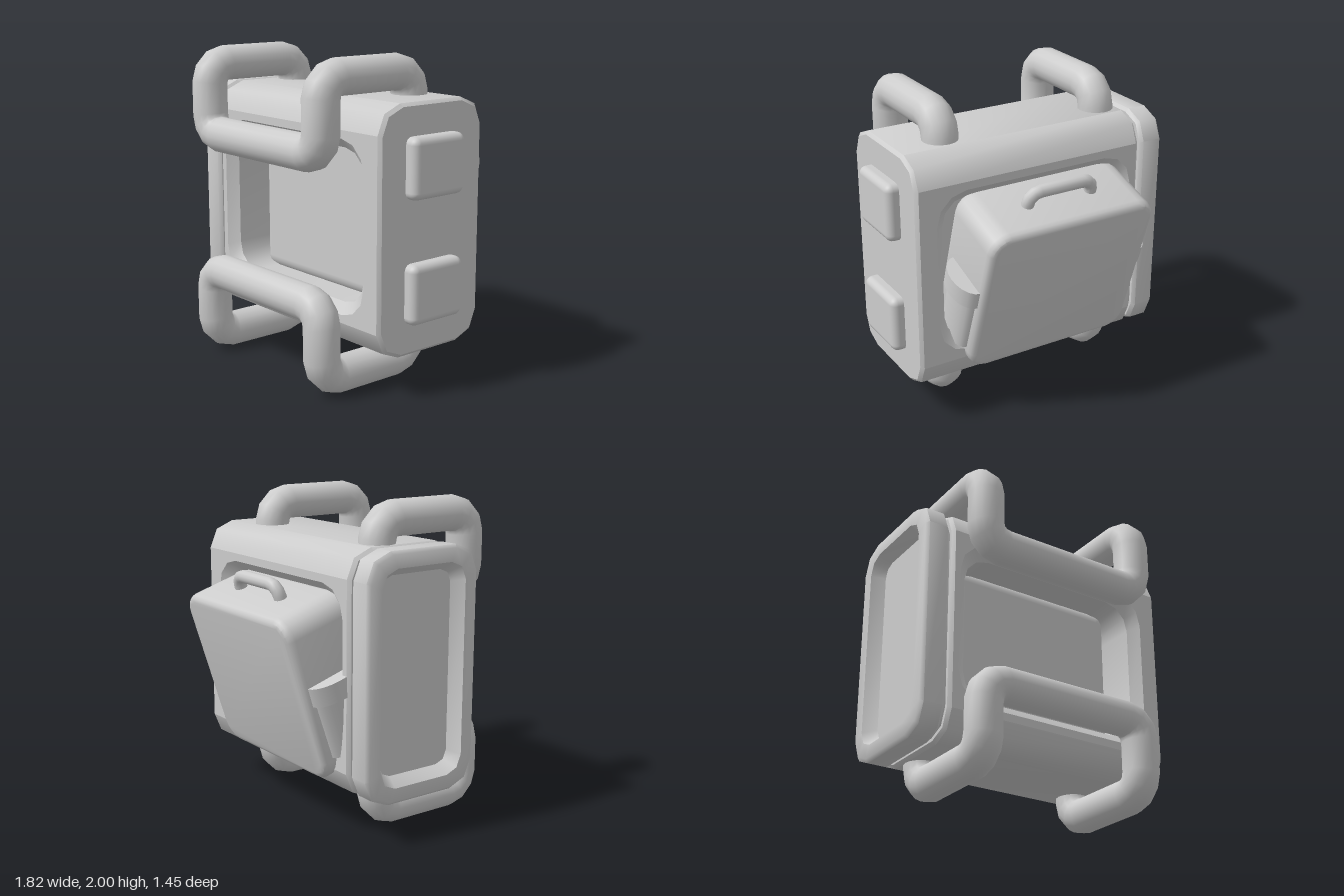
import * as THREE from 'three';
import { toCreasedNormals, mergeGeometries } from 'three/addons/utils/BufferGeometryUtils.js';
import { RoundedBoxGeometry } from 'three/addons/geometries/RoundedBoxGeometry.js';

// Counter-clockwise rounded rectangle outline
function rounded(hw, hh, r, seg, cx = 0, cy = 0) {
  const pts = [];
  for (let c = 0; c < 4; c++) {
    const sx = c === 0 || c === 3 ? 1 : -1, sy = c < 2 ? 1 : -1;
    for (let k = 0; k <= seg; k++) {
      const a = (c + k / seg) * Math.PI / 2;
      pts.push(new THREE.Vector2(cx + sx * (hw - r) + r * Math.cos(a), cy + sy * (hh - r) + r * Math.sin(a)));
    }
  }
  return pts;
}

function fromPoints(points) {
  const g = new THREE.BufferGeometry().setFromPoints(points);
  g.computeVertexNormals();
  return g;
}

// Skin between successive loops, with optional end caps and skipped quads
function loft(loops, { capStart, capEnd, skip = () => false, crease = 0.8 } = {}) {
  const tris = [], n = loops[0].length;
  for (let l = 0; l < loops.length - 1; l++) {
    for (let i = 0; i < n; i++) {
      if (skip(l, i)) continue;
      const j = (i + 1) % n, a = loops[l], b = loops[l + 1];
      tris.push(a[i], b[i], b[j], a[i], b[j], a[j]);
    }
  }
  const parts = [toCreasedNormals(fromPoints(tris), crease)];
  const cap = (loop, reverse) => {
    const t = [];
    for (let i = 1; i < n - 1; i++) t.push(loop[0], loop[reverse ? i + 1 : i], loop[reverse ? i : i + 1]);
    parts.push(fromPoints(t));
  };
  if (capStart) cap(loops[0], false);
  if (capEnd) cap(loops[loops.length - 1], true);
  return mergeGeometries(parts);
}

// Housing cross-section at a given x
const section = (x, inset) =>
  rounded(0.41 - inset, 0.75 - inset, 0.17 - inset * 0.6, 2, 0.05, 1).map(p => new THREE.Vector3(x, p.y, p.x));

// Straight runs joined by short faceted bends
class BentPath extends THREE.Curve {
  constructor(corners, bend, steps) {
    super();
    const v = corners.map(c => new THREE.Vector3(...c));
    this.pts = [v[0]];
    for (let i = 1; i < v.length - 1; i++) {
      const a = v[i - 1].clone().sub(v[i]).setLength(bend);
      const b = v[i + 1].clone().sub(v[i]).setLength(bend);
      for (let k = 0; k <= steps; k++) {
        const t = k / steps * Math.PI / 2;
        this.pts.push(v[i].clone().addScaledVector(a, 1 - Math.sin(t)).addScaledVector(b, 1 - Math.cos(t)));
      }
    }
    this.pts.push(v[v.length - 1]);
  }
  getPoint(t, target = new THREE.Vector3()) {
    const f = t * (this.pts.length - 1), i = Math.min(Math.floor(f + 1e-6), this.pts.length - 2);
    return target.lerpVectors(this.pts[i], this.pts[i + 1], f - i);
  }
  getPointAt(t, target) { return this.getPoint(t, target); }
  getTangentAt(t, target = new THREE.Vector3()) {
    const n = this.pts.length - 1, i = Math.round(t * n), p = this.pts;
    const dir = (a, b) => p[b].clone().sub(p[a]).normalize();
    if (i === 0) return target.copy(dir(0, 1));
    if (i === n) return target.copy(dir(n - 1, n));
    return target.copy(dir(i - 1, i).add(dir(i, i + 1)).normalize());
  }
}

const bentTube = (corners, radius, bend, sides = 16) => {
  const path = new BentPath(corners, bend, 3);
  return new THREE.TubeGeometry(path, path.pts.length - 1, radius, sides, false);
};

export function createModel() {
  const model = new THREE.Group();
  const grey = new THREE.MeshStandardMaterial({ color: 0xcccccc });
  grey.name = 'plain grey';
  const add = (parent, name, geometry, x = 0, y = 0, z = 0) => {
    const mesh = new THREE.Mesh(geometry, grey);
    mesh.name = name;
    mesh.position.set(x, y, z);
    parent.add(mesh);
    return mesh;
  };

  // Main housing: skin left open at the front and back flats
  add(model, 'housing', loft(
    [section(-0.73, 0.02), section(-0.71, 0), section(0.81, 0), section(0.83, 0.02)],
    { capStart: true, capEnd: true, skip: (l, i) => l === 1 && (i === 5 || i === 11) }));

  // Front and back flats with the window cut out
  for (const s of [1, -1]) {
    const shape = new THREE.Shape([[-0.76, -0.58], [0.76, -0.58], [0.76, 0.58], [-0.76, 0.58]]
      .map(([x, y]) => new THREE.Vector2(x + s * 0.05, y + 1)));
    shape.holes.push(new THREE.Path(rounded(0.685, 0.53, 0.2, 3, s * 0.013, 1)));
    const g = new THREE.ShapeGeometry(shape);
    if (s < 0) g.rotateY(Math.PI);
    add(model, s > 0 ? 'frontFace' : 'backFace', g, 0, 0, s > 0 ? 0.46 : -0.36);
  }

  // Bevelled wall of the window
  const ring = (z, inset) => rounded(0.685 - inset, 0.53 - inset, 0.2 - inset * 0.5, 3, 0.013, 1)
    .map(p => new THREE.Vector3(p.x, p.y, z));
  add(model, 'windowWall', loft([ring(-0.36, 0), ring(-0.3, 0.062), ring(0.4, 0.062), ring(0.46, 0)], { crease: 0.6 }));

  // Upright panel inside the window
  add(model, 'innerPanel', new RoundedBoxGeometry(1.2, 1.0, 0.3, 4, 0.09), 0.013, 1, 0.07);

  // End cover with a recessed panel, and the core behind its seam
  add(model, 'endCover', loft(
    [section(-0.83, 0.15), section(-0.91, 0.1), section(-0.91, 0.02), section(-0.89, 0), section(-0.77, 0), section(-0.75, 0.02)],
    { capStart: true, capEnd: true }));
  add(model, 'seamCore', loft([section(-0.76, 0.04), section(-0.72, 0.04)]));

  // Two pads on the opposite end
  for (const y of [0.63, 1.375]) {
    add(model, 'sidePad', new RoundedBoxGeometry(0.14, 0.365, 0.41, 3, 0.045), 0.84, y, 0.055);
  }

  // Tubular guard rails, mirrored top and bottom
  for (const s of [1, -1]) {
    const y = h => 1 + s * h;
    add(model, s > 0 ? 'topRail' : 'bottomRail', bentTube([
      [-0.6, y(0.7), -0.06], [-0.6, y(0.888), -0.06], [-0.6, y(0.888), 0.62], [-0.6, y(0.45), 0.62],
      [0.51, y(0.45), 0.62], [0.51, y(0.888), 0.62], [0.51, y(0.888), -0.06], [0.51, y(0.7), -0.06],
    ], 0.112, 0.12));
  }

  // Tilted pack lodged in the back of the window
  const pack = new THREE.Group();
  pack.name = 'pack';
  pack.position.set(-0.04, 0.845, -0.57);
  pack.rotation.x = -0.307;
  model.add(pack);
  const body = new THREE.ExtrudeGeometry(new THREE.Shape(rounded(0.535, 0.49, 0.09, 4)),
    { depth: 0.37, bevelThickness: 0.05, bevelSize: 0.04, bevelSegments: 3 });
  add(pack, 'packBody', toCreasedNormals(body, 0.6), 0, 0, 0.05);

  // Carry loop on top of the pack
  add(pack, 'packHandle', bentTube([[-0.22, 0.5, 0.23], [-0.22, 0.615, 0.23], [0.22, 0.615, 0.23], [0.22, 0.5, 0.23]], 0.04, 0.07, 12));

  // Side pockets with a wider band at the mouth
  for (const s of [1, -1]) {
    const pocket = add(pack, 'sidePocket', new THREE.CylinderGeometry(0.15, 0.14, 0.36, 20), s * 0.57, -0.2, 0.21);
    pocket.scale.x = 0.52;
    const band = add(pack, 'pocketBand', new THREE.CylinderGeometry(0.17, 0.17, 0.12, 20), s * 0.57, 0.04, 0.21);
    band.scale.x = 0.62;
  }
  return model;
}
